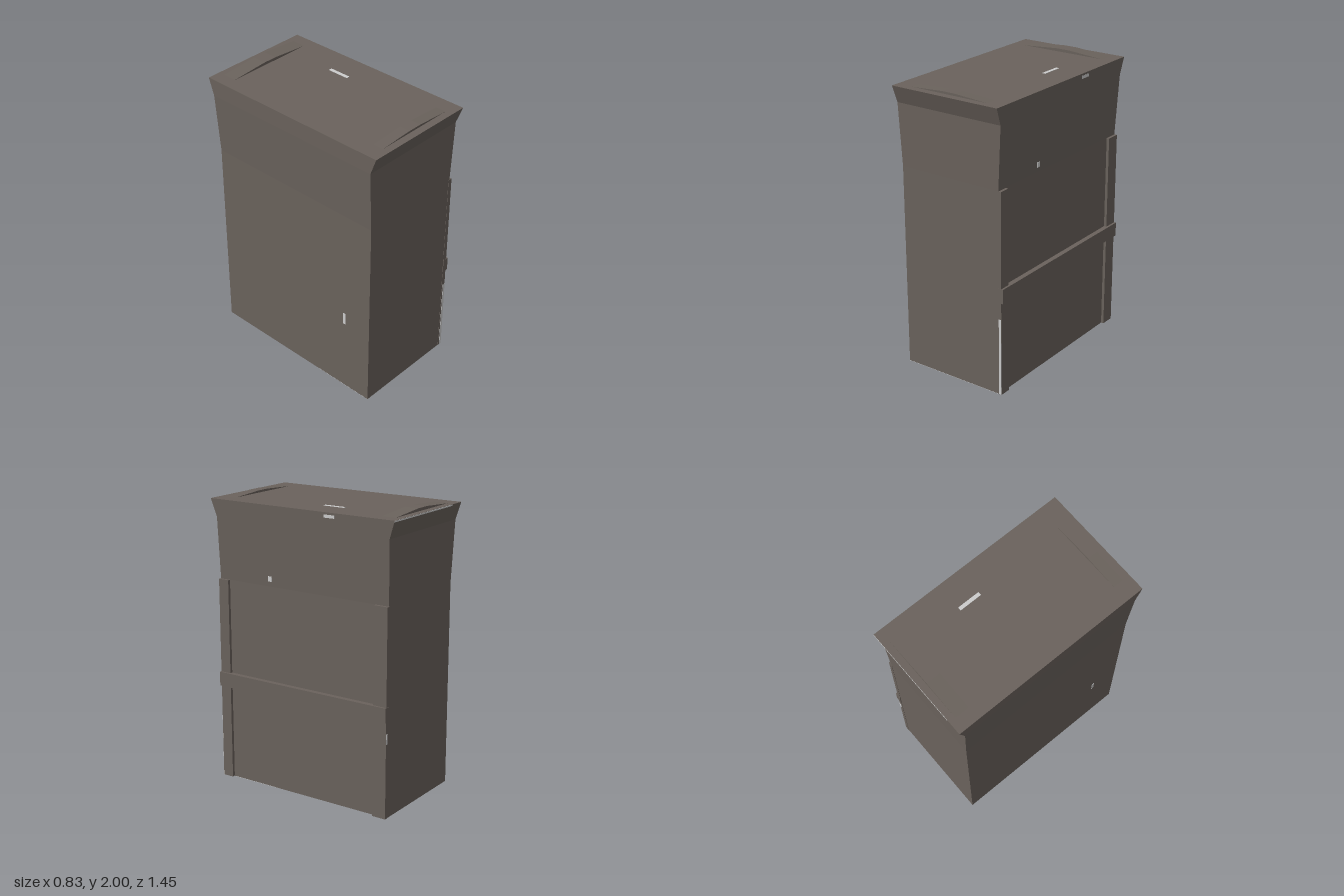
import * as THREE from 'three';

const timber = new THREE.MeshStandardMaterial({ color: 0x6a625c });
timber.name = 'weathered brown';
const pale = new THREE.MeshStandardMaterial({ color: 0xcccccc });
pale.name = 'pale grey';

// Box given by its limits on each axis
function box(name, material, [x0, x1], [y0, y1], [z0, z1]) {
  const mesh = new THREE.Mesh(new THREE.BoxGeometry(x1 - x0, y1 - y0, z1 - z0), material);
  mesh.position.set((x0 + x1) / 2, (y0 + y1) / 2, (z0 + z1) / 2);
  mesh.name = name;
  return mesh;
}

// Closed body lofted through rectangular levels: [y, xMin, xMax, zMin, zMax]
function loft(levels) {
  const rings = levels.map(([y, x0, x1, z0, z1]) =>
    [[x0, y, z1], [x1, y, z1], [x1, y, z0], [x0, y, z0]]);
  const positions = [];
  const quad = (a, b, c, d) => positions.push(...a, ...b, ...c, ...a, ...c, ...d);
  for (let i = 0; i < rings.length - 1; i++) {
    const low = rings[i], high = rings[i + 1];
    for (let k = 0; k < 4; k++) {
      const n = (k + 1) % 4;
      quad(low[k], low[n], high[n], high[k]);
    }
  }
  const top = rings[rings.length - 1], base = rings[0];
  quad(...top);
  quad(base[3], base[2], base[1], base[0]);
  const geometry = new THREE.BufferGeometry();
  geometry.setAttribute('position', new THREE.Float32BufferAttribute(positions, 3));
  geometry.computeVertexNormals();
  return geometry;
}

// Low ridge lying across the roof
function ridge(name, halfWidth, peak, z0, z1) {
  const shape = new THREE.Shape([
    new THREE.Vector2(-halfWidth, 1.975),
    new THREE.Vector2(halfWidth, 1.975),
    new THREE.Vector2(0.05, peak),
    new THREE.Vector2(-0.05, peak),
  ]);
  const geometry = new THREE.ExtrudeGeometry(shape, { depth: z1 - z0, bevelEnabled: false });
  const mesh = new THREE.Mesh(geometry, timber);
  mesh.position.z = z0;
  mesh.name = name;
  return mesh;
}

export function createModel() {
  const model = new THREE.Group();
  model.name = 'flaredBlock';

  // Upright body flaring into a cornice
  const body = new THREE.Mesh(loft([
    [0, -0.39, 0.38, -0.675, 0.678],
    [1.43, -0.39, 0.38, -0.675, 0.678],
    [1.86, -0.414, 0.402, -0.686, 0.682],
    [1.98, -0.416, 0.408, -0.725, 0.727],
  ]), timber);
  body.name = 'body';
  model.add(body);

  // Frame on the left side: two posts and a rail
  model.add(
    box('frontPost', timber, [0.37, 0.4], [0, 1.43], [0.6, 0.68]),
    box('backPost', timber, [0.37, 0.4], [0, 1.43], [-0.677, -0.575]),
    box('crossRail', timber, [0.37, 0.415], [0.67, 0.77], [-0.68, 0.682]),
  );

  // Roof ridges
  model.add(
    ridge('frontRidge', 0.38, 1.995, 0.6, 0.675),
    ridge('backRidge', 0.39, 2.0, -0.678, -0.577),
  );

  // Pale worn patches as thin plates
  model.add(
    box('basePatch', pale, [-0.39, 0.38], [-0.001, 0.001], [0.22, 0.678]),
    box('frontPostPatch', pale, [0.381, 0.399], [0.002, 0.55], [0.678, 0.682]),
    box('backPostPatch', pale, [0.383, 0.4], [0.52, 0.59], [-0.679, -0.676]),
    box('roofPatch', pale, [0.19, 0.215], [1.978, 1.982], [-0.22, -0.06]),
    box('cornicePatch', pale, [0.404, 0.409], [1.945, 1.965], [-0.28, -0.2]),
    box('leftWallPatch', pale, [0.38, 0.387], [1.465, 1.5], [0.24, 0.27]),
    box('rightWallPatch', pale, [-0.392, -0.389], [0.55, 0.64], [0.45, 0.47]),
    box('backCornicePatch', pale, [-0.3, 0.405], [1.97, 1.979], [-0.726, -0.718]),
  );

  return model;
}
